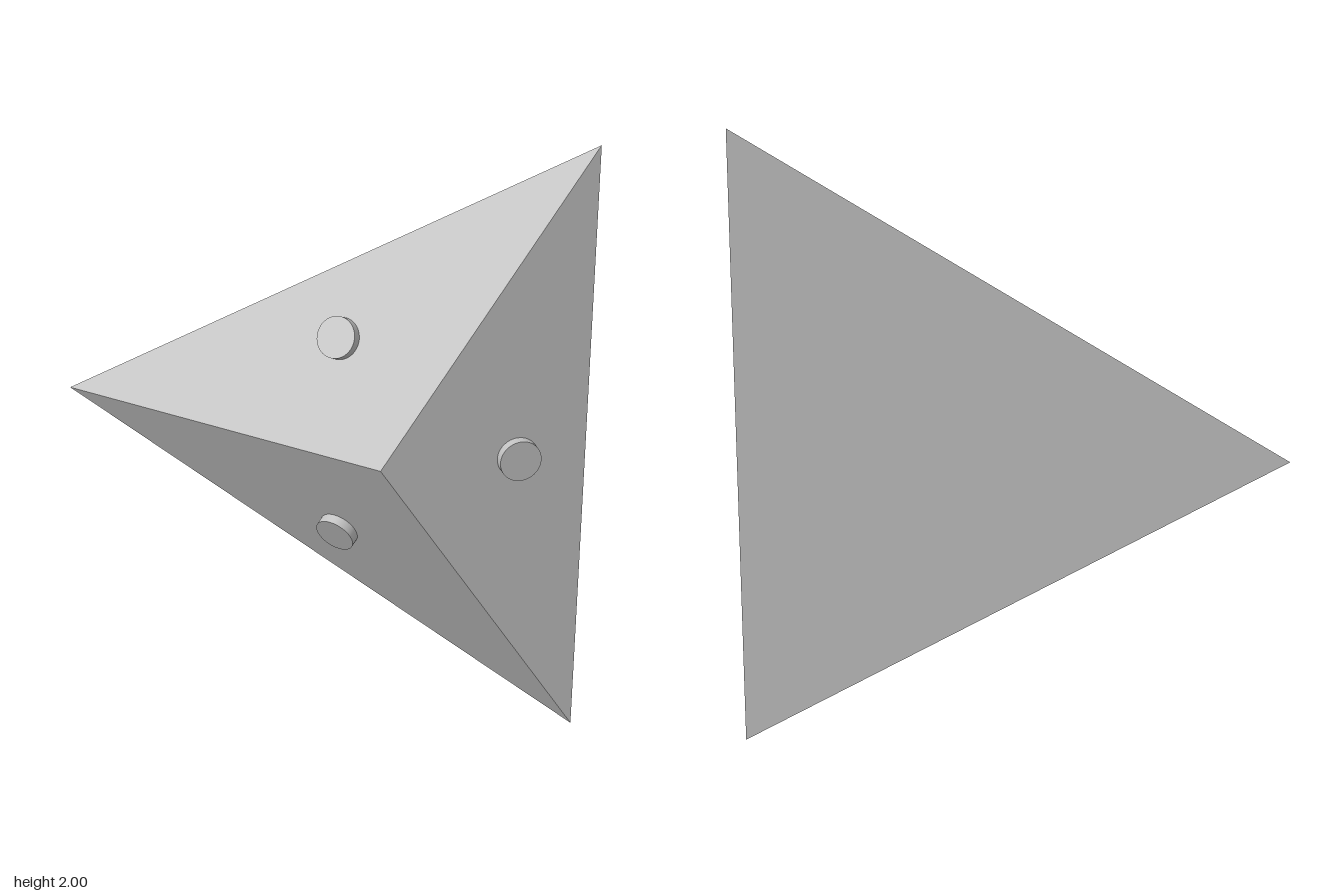
import * as THREE from 'three';

const BASE_RADIUS = 2 / Math.sqrt(3); // triangle with sides of 2
const DEPTH = 0.33;
const CENTRE_X = BASE_RADIUS / 4;

export function createModel() {
  const model = new THREE.Group();
  model.name = 'triangularPyramid';
  const grey = new THREE.MeshStandardMaterial({ color: 0xc0c0c0 });
  grey.name = 'grey';

  // Shallow three-sided pyramid, apex to the front, one corner to -x
  const shape = new THREE.ConeGeometry(BASE_RADIUS, DEPTH, 3, 1)
    .rotateX(Math.PI / 2)
    .rotateZ(-Math.PI / 2)
    .toNonIndexed();
  shape.computeVertexNormals(); // hard facets
  const pyramid = new THREE.Mesh(shape, grey);
  pyramid.name = 'pyramidBody';
  pyramid.position.set(CENTRE_X, 1, 0);
  model.add(pyramid);

  // One round stud at the middle of each sloping face, half sunk
  const inRadius = BASE_RADIUS / 2;
  const studGeometry = new THREE.CylinderGeometry(0.067, 0.067, 0.064, 40);
  for (let i = 0; i < 3; i++) {
    const angle = (i * Math.PI * 2) / 3;
    const out = new THREE.Vector3(Math.cos(angle), Math.sin(angle), 0);
    const normal = out.clone().multiplyScalar(DEPTH);
    normal.z = inRadius;
    normal.normalize();
    const stud = new THREE.Mesh(studGeometry, grey);
    stud.name = `faceStud${i + 1}`;
    stud.position.copy(out).multiplyScalar((inRadius * 2) / 3);
    stud.position.add(new THREE.Vector3(CENTRE_X, 1, -DEPTH / 6));
    stud.quaternion.setFromUnitVectors(new THREE.Vector3(0, 1, 0), normal);
    model.add(stud);
  }
  return model;
}
